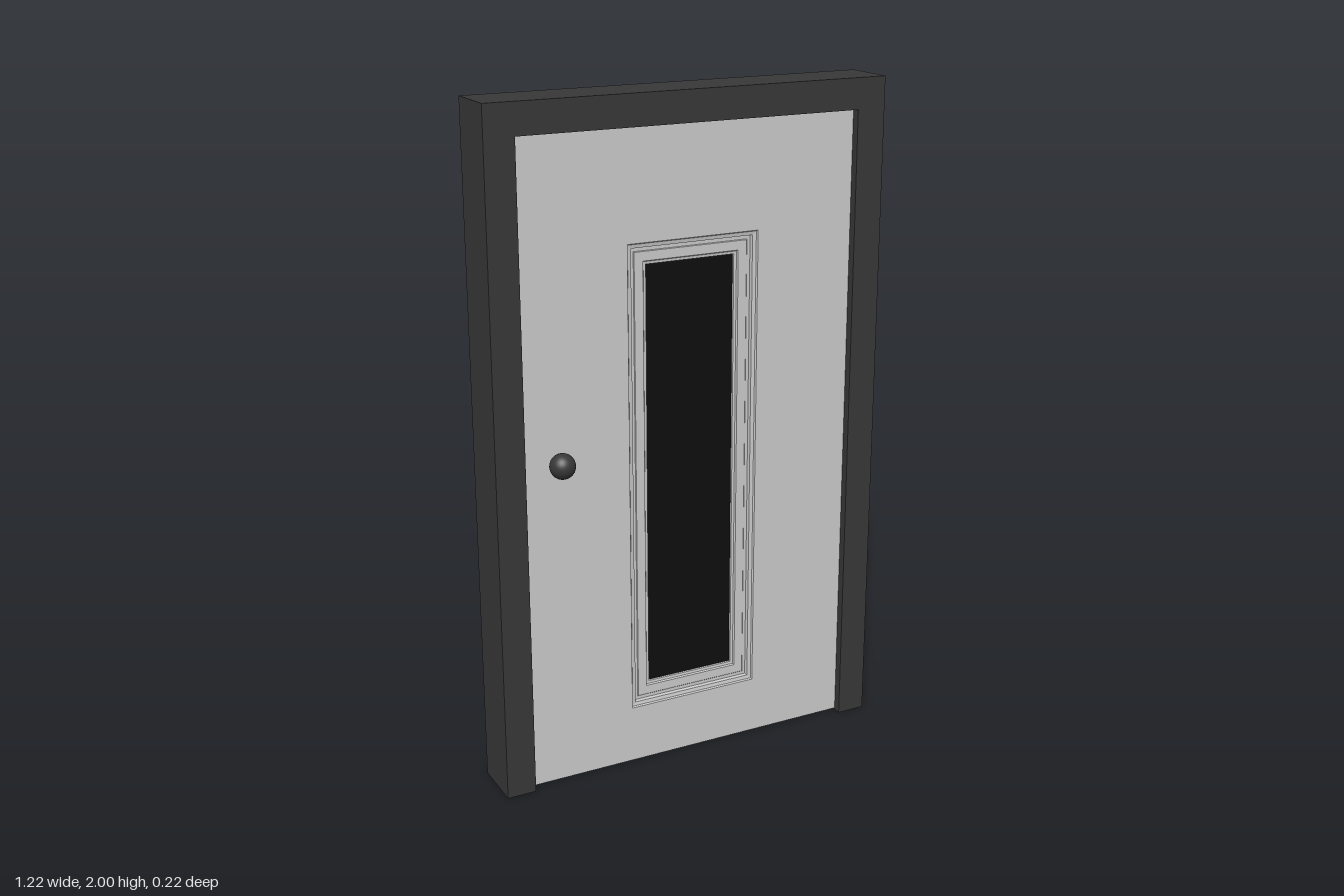
import * as THREE from 'three';

const grey = new THREE.MeshStandardMaterial({ color: 0xcccccc, flatShading: true, side: THREE.DoubleSide });
const dark = new THREE.MeshStandardMaterial({ color: 0x383838 });
const black = new THREE.MeshStandardMaterial({ color: 0x0e0e0e });

function part(name, geometry, material, x = 0, y = 0, z = 0) {
  const mesh = new THREE.Mesh(geometry, material);
  mesh.name = name;
  mesh.position.set(x, y, z);
  return mesh;
}

function polygon(points, Type = THREE.Shape) {
  return new Type(points.map(([x, y]) => new THREE.Vector2(x, y)));
}

const rect = (x0, x1, y0, y1) => [[x0, y0], [x1, y0], [x1, y1], [x0, y1]];

function slab(shape, z0, z1) {
  return new THREE.ExtrudeGeometry(shape, { depth: z1 - z0, bevelEnabled: false }).translate(0, 0, z0);
}

// Mitred rectangular moulding: profile entries are [inset from outer edge, z]
function moulding(halfW, halfH, profile) {
  const pos = [];
  const corners = [[-1, -1], [1, -1], [1, 1], [-1, 1]];
  const at = (c, [inset, z]) => [corners[c % 4][0] * (halfW - inset), corners[c % 4][1] * (halfH - inset), z];
  for (let i = 0; i < profile.length - 1; i++) {
    for (let c = 0; c < 4; c++) {
      const a = at(c, profile[i]), b = at(c + 1, profile[i]);
      const d = at(c, profile[i + 1]), e = at(c + 1, profile[i + 1]);
      pos.push(...a, ...b, ...e, ...a, ...e, ...d);
    }
  }
  const g = new THREE.BufferGeometry();
  g.setAttribute('position', new THREE.Float32BufferAttribute(pos, 3));
  g.computeVertexNormals();
  return g;
}

export function createModel() {
  const model = new THREE.Group();
  model.name = 'door';

  // Surround: two jambs and a header in one piece
  const frameShape = polygon([
    [-0.61, 0], [-0.522, 0], [-0.522, 1.91], [0.522, 1.91],
    [0.522, 0], [0.61, 0], [0.61, 2], [-0.61, 2],
  ]);
  model.add(part('doorFrame', slab(frameShape, -0.11, 0.055), dark));

  // Door leaf with the window opening
  const halfT = 0.03, cx = 0.01, cy = 0.885, halfW = 0.205, halfH = 0.705;
  const leaf = polygon(rect(-0.512, 0.522, 0.005, 1.91));
  leaf.holes.push(polygon(rect(cx - halfW, cx + halfW, cy - halfH, cy + halfH).reverse(), THREE.Path));
  model.add(part('doorLeaf', slab(leaf, -halfT, halfT), grey));

  // Stepped, recessed window moulding on both faces
  const profile = [
    [0, halfT], [0.003, 0.025], [0.014, 0.023], [0.016, 0.012], [0.026, 0.012],
    [0.028, 0.014], [0.055, 0.014], [0.058, 0.009], [0.066, 0.008], [0.068, 0],
  ];
  const trim = moulding(halfW, halfH, profile);
  for (const [name, turn] of [['frontWindowTrim', 0], ['backWindowTrim', Math.PI]]) {
    const mesh = part(name, trim, grey, cx, cy);
    mesh.rotation.y = turn;
    model.add(mesh);
  }

  // Dark glass pane
  model.add(part('windowPane', new THREE.BoxGeometry(0.276, 1.276, 0.006), black, cx, cy));

  // Knob on a short stem, front side only
  const stem = new THREE.CylinderGeometry(0.014, 0.014, 0.04, 24).rotateX(Math.PI / 2);
  model.add(part('knobStem', stem, dark, -0.42, 1, 0.04));
  model.add(part('knob', new THREE.SphereGeometry(0.037, 32, 20), dark, -0.42, 1, 0.073));

  return model;
}
